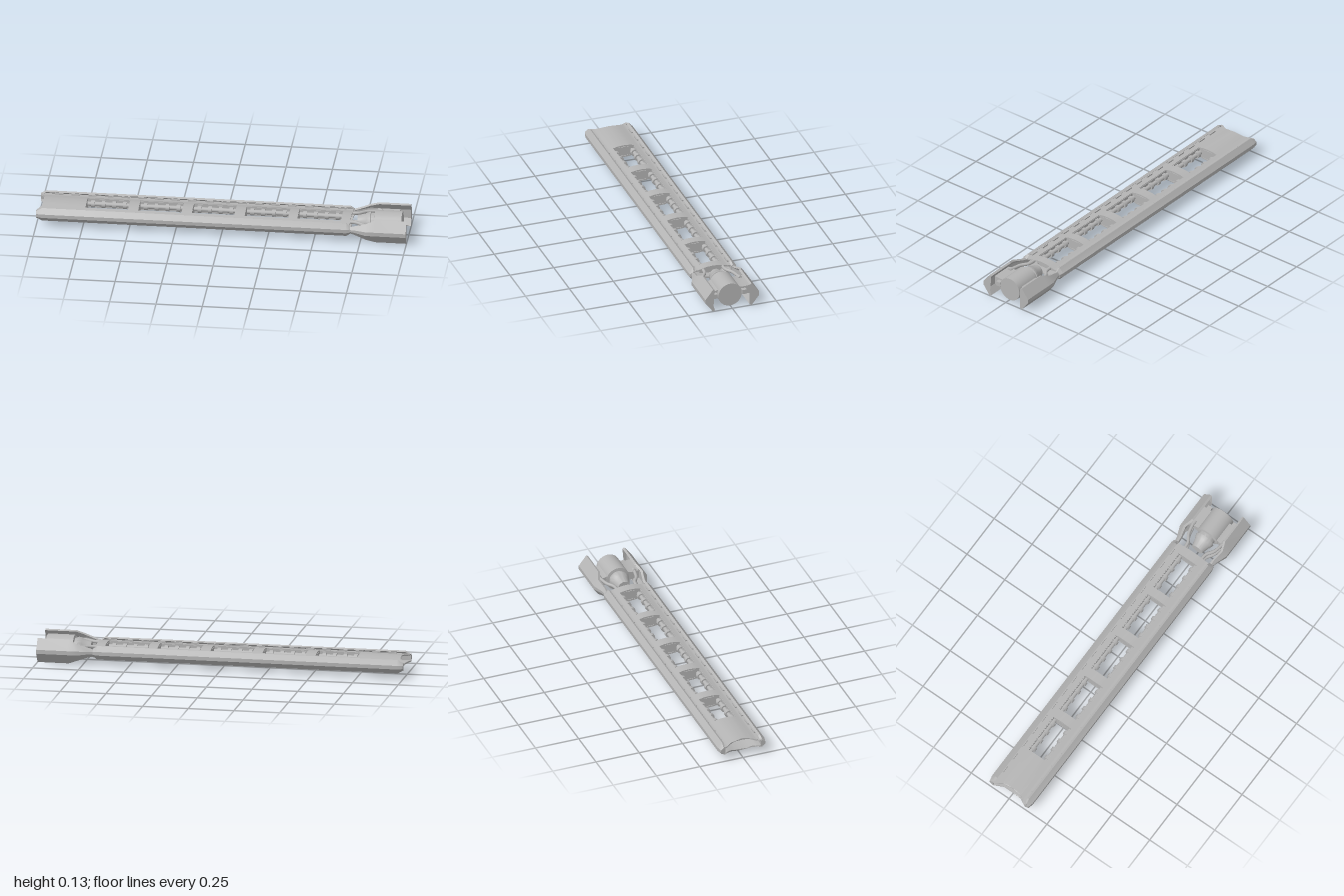
import * as THREE from 'three';
import { toCreasedNormals } from 'three/addons/utils/BufferGeometryUtils.js';

const MID = 0.066; // height of the long axis

// Skin a list of cross-sections (arrays of [x, y, z]) and cap both ends.
function loft(sections) {
  const first = sections[0].map(p => new THREE.Vector2(p[1], p[2]));
  if (THREE.ShapeUtils.area(first) < 0) {
    sections = sections.map(s => s.slice().reverse());
    first.reverse();
  }
  const n = first.length, last = (sections.length - 1) * n, index = [];
  for (let k = 0; k < sections.length - 1; k++) {
    for (let i = 0; i < n; i++) {
      const a = k * n + i, b = k * n + (i + 1) % n;
      index.push(a, b, b + n, a, b + n, a + n);
    }
  }
  for (const [a, b, c] of THREE.ShapeUtils.triangulateShape(first, [])) {
    index.push(a, c, b, last + a, last + b, last + c);
  }
  const g = new THREE.BufferGeometry();
  g.setAttribute('position', new THREE.Float32BufferAttribute(sections.flat(2), 3));
  g.setIndex(index);
  return toCreasedNormals(g, 0.4);
}

// Chevron section: apex at z = az, tips at z = tz and height h.
function chevron(x, az, tz, h, flat, depth, side) {
  const ih = Math.min(flat * 2.2, h * 0.6);
  return [[h, tz], [flat, az], [-flat, az], [-h, tz],
    [-h + 0.006, tz - 0.011], [-ih, az - depth], [ih, az - depth], [h - 0.006, tz - 0.011]]
    .map(([y, z]) => [x, y, z * side]);
}

// Half-thickness of the hull across its width.
function hullHeight(z) {
  const a = Math.abs(z);
  if (a < 0.035) return 0.036 - a * 0.06;
  if (a < 0.085) return 0.0339 - (a - 0.035) * 0.24;
  return 0.0219;
}

// Curved hull plate; the rear edge is scooped where it reaches x = -1.
function plate(x0, x1, z0, z1, up) {
  const section = x => {
    const outer = [], inner = [];
    for (let i = 0; i <= 8; i++) {
      const z = z0 + (z1 - z0) * i / 8;
      const scoop = THREE.MathUtils.clamp((Math.abs(z) - 0.05) / 0.05, 0, 1);
      const px = x === -1 ? -0.97 - 0.03 * scoop : x;
      outer.push([px, up * hullHeight(z), z]);
      inner.unshift([px, up * (hullHeight(z) - 0.008), z]);
    }
    return outer.concat(inner);
  };
  return loft([section(x0), section(x1)]);
}

export function createModel() {
  const model = new THREE.Group();
  model.name = 'model';
  const body = new THREE.Group();
  body.name = 'body';
  body.position.y = MID;
  model.add(body);
  const grey = new THREE.MeshStandardMaterial({ color: 0xb4b4b4 });
  grey.name = 'grey metal';

  const add = (name, geometry, x = 0, y = 0, z = 0) => {
    const mesh = new THREE.Mesh(geometry, grey);
    mesh.name = name;
    mesh.position.set(x, y, z);
    body.add(mesh);
    return mesh;
  };
  const box = (name, w, h, d, x, y, z) => add(name, new THREE.BoxGeometry(w, h, d), x, y, z);

  const windows = [[-0.74, -0.51], [-0.455, -0.22], [-0.165, 0.065], [0.12, 0.355], [0.405, 0.64]];

  // Hull: side strips and the bridges between windows, above and below
  for (const up of [1, -1]) {
    for (const s of [1, -1]) {
      add('hullSide', plate(-1, 0.69, Math.min(s * 0.06, s * 0.112), Math.max(s * 0.06, s * 0.112), up));
    }
    let start = -1;
    for (const [a, b] of [...windows, [0.69, 0.69]]) {
      add('hullBridge', plate(start, a, -0.06, 0.06, up));
      start = b;
    }
  }

  // Cross walls closing the window bays
  for (const [a, b] of windows) {
    for (const x of [a - 0.004, b + 0.004]) box('bayWall', 0.008, 0.05, 0.12, x, 0, 0);
  }

  for (const s of [1, -1]) {
    // Chevron side rail with a bevelled rear end
    add('sideRail', loft([
      chevron(-1, 0.128, 0.112, 0.019, 0.008, 0.025, s),
      chevron(-0.97, 0.135, 0.11, 0.037, 0.01, 0.028, s),
      chevron(0.675, 0.135, 0.11, 0.037, 0.01, 0.028, s),
      chevron(0.695, 0.13, 0.112, 0.022, 0.008, 0.025, s),
    ]));

    // Inner wall, conduit and ribs along the windows
    box('innerWall', 1.4, 0.05, 0.006, -0.05, 0, s * 0.06);
    const conduit = new THREE.CylinderGeometry(0.012, 0.012, 1.4, 12);
    conduit.rotateZ(Math.PI / 2);
    add('conduit', conduit, -0.05, 0, s * 0.05);
    for (const [a, b] of windows) {
      for (let i = 0; i < 4; i++) {
        const rib = new THREE.CylinderGeometry(0.02, 0.02, 0.02, 12);
        rib.rotateZ(Math.PI / 2);
        add('rib', rib, a + (b - a) * (i + 0.5) / 4, 0, s * 0.05);
      }
    }

    // Small clips between hull and rail
    for (let i = 0; i < 18; i++) {
      for (const up of [1, -1]) {
        box('clip', 0.045, 0.008, 0.012, -0.9 + i * 0.09, up * 0.025, s * 0.099);
      }
    }

    // Flared claw
    add('claw', loft([
      chevron(0.68, 0.122, 0.116, 0.014, 0.005, 0.018, s),
      chevron(0.72, 0.13, 0.116, 0.026, 0.007, 0.022, s),
      chevron(0.78, 0.153, 0.128, 0.045, 0.011, 0.028, s),
      chevron(0.83, 0.153, 0.11, 0.066, 0.011, 0.03, s),
      chevron(1, 0.153, 0.11, 0.066, 0.011, 0.03, s),
    ]));

    // Wing joining the claw to the barrel, with a stepped front edge
    const wing = x => [[0.03, 0.05], [0.022, 0.075], [0.024, 0.125],
      [-0.024, 0.125], [-0.022, 0.075], [-0.03, 0.05]].map(([y, z]) => [x, y, z * s]);
    add('wing', loft([wing(0.82), wing(0.94)]));
    box('wingStep', 0.025, 0.025, 0.025, 0.95, 0, s * 0.083);

    // Bent pipes from the hull to the claw
    for (const y of [0.02, -0.03]) {
      const path = new THREE.CatmullRomCurve3([[0.67, 0.055], [0.725, 0.06], [0.765, 0.085], [0.83, 0.1]]
        .map(([x, z]) => new THREE.Vector3(x, y, z * s)));
      add('pipe', new THREE.TubeGeometry(path, 16, 0.009, 10, false));
      const cap = new THREE.CylinderGeometry(0.012, 0.012, 0.02, 12);
      cap.rotateZ(Math.PI / 2);
      add('pipeEnd', cap, 0.835, y, s * 0.1);
    }
  }

  // Nozzle cone and barrel, turned about the long axis
  const profile = [[0, 0.725], [0.034, 0.725], [0.038, 0.74], [0.046, 0.77], [0.05, 0.775],
    [0.056, 0.795], [0.05, 0.797], [0.05, 0.815], [0.066, 0.818], [0.066, 0.965], [0, 0.965]];
  const barrel = new THREE.LatheGeometry(profile.map(p => new THREE.Vector2(...p)), 40);
  barrel.rotateZ(-Math.PI / 2);
  add('barrel', toCreasedNormals(barrel, 0.5));

  return model;
}
